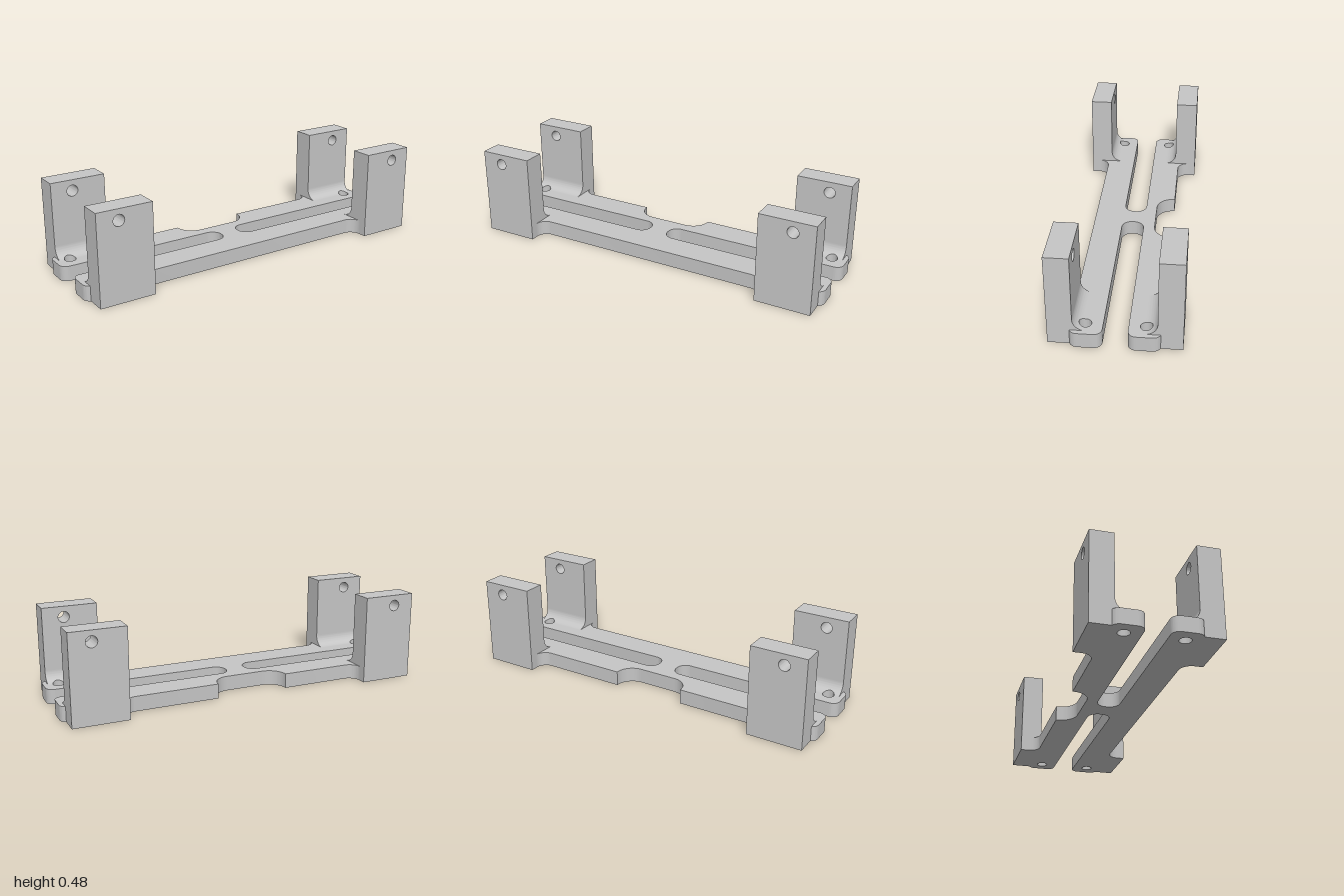
import * as THREE from 'three';
import { toCreasedNormals } from 'three/addons/utils/BufferGeometryUtils.js';

const PLATE = 0.08, HOLE = 0.03, HOLE_X = 0.92, HOLE_Z = 0.144;
const POST_IN = 0.68, POST_OUT = 0.976, POST_Z = 0.199, POST_DEPTH = 0.12;

// Closed outline from [x, y, radius] corners, each right angle rounded by an arc
function roundedOutline(corners) {
  const shape = new THREE.Shape();
  const n = corners.length;
  corners.forEach(([x, y, r = 0], i) => {
    const p = new THREE.Vector2(x, y);
    const toward = (c) => new THREE.Vector2(c[0], c[1]).sub(p).normalize();
    const d1 = toward(corners[(i + n - 1) % n]);
    const d2 = toward(corners[(i + 1) % n]);
    const start = p.clone().addScaledVector(d1, r);
    if (i === 0) shape.moveTo(start.x, start.y);
    else shape.lineTo(start.x, start.y);
    if (r > 0) {
      const c = start.clone().addScaledVector(d2, r);
      const clockwise = d2.cross(d1) < 0;
      shape.absarc(c.x, c.y, r, Math.atan2(-d2.y, -d2.x), Math.atan2(-d1.y, -d1.x), clockwise);
    }
  });
  shape.closePath();
  return shape;
}

function addHole(shape, x, y) {
  shape.holes.push(new THREE.Path().absarc(x, y, HOLE, 0, Math.PI * 2, true));
}

function extrude(shape, depth) {
  const geo = new THREE.ExtrudeGeometry(shape, { depth, bevelEnabled: false, curveSegments: 16 });
  return toCreasedNormals(geo, 0.6);
}

// Concave fillet between plate and post, cut by the screw hole
function filletGeometry(sx, sz) {
  const r = 0.06, zc = POST_Z - r, yc = PLATE + r;
  const angles = [Math.asin((HOLE_Z + HOLE - zc) / r)];
  for (let i = 0; i <= 16; i++) angles.push((i / 16) * Math.PI / 2);
  angles.sort((a, b) => a - b);
  const rows = angles.map((t) => {
    const z = zc + r * Math.sin(t);
    const w = Math.sqrt(Math.max(0, HOLE ** 2 - (z - HOLE_Z) ** 2));
    return { z, y: yc - r * Math.cos(t), w: w < 1e-4 ? 0 : w };
  });
  const pos = [];
  const quad = (a, b, c, d, reverse = false) => {
    const flip = (sx * sz < 0) !== reverse;
    const order = flip ? [a, c, b, a, d, c] : [a, b, c, a, c, d];
    for (const [x, y, z] of order) pos.push(x * sx, y, z * sz);
  };
  for (let i = 0; i < rows.length - 1; i++) {
    const p = rows[i], q = rows[i + 1];
    const top = (p0, q0, p1, q1) =>
      quad([p0, p.y, p.z], [q0, q.y, q.z], [q1, q.y, q.z], [p1, p.y, p.z]);
    const wall = (px, qx, reverse) =>
      quad([px, PLATE, p.z], [px, p.y, p.z], [qx, q.y, q.z], [qx, PLATE, q.z], reverse);
    top(POST_IN, POST_IN, HOLE_X - p.w, HOLE_X - q.w);
    top(HOLE_X + p.w, HOLE_X + q.w, POST_OUT, POST_OUT);
    wall(POST_IN, POST_IN, true);
    wall(POST_OUT, POST_OUT, false);
    if (p.w > 0 || q.w > 0) {
      wall(HOLE_X - p.w, HOLE_X - q.w, false);
      wall(HOLE_X + p.w, HOLE_X + q.w, true);
    }
  }
  const geo = new THREE.BufferGeometry();
  geo.setAttribute('position', new THREE.Float32BufferAttribute(pos, 3));
  return toCreasedNormals(geo, 0.5);
}

export function createModel() {
  const model = new THREE.Group();
  model.name = 'mountingBracket';
  const gray = new THREE.MeshStandardMaterial({ color: 0xc5c5c5 });
  gray.name = 'lightGray';
  const add = (name, geo, parent = model) => {
    const mesh = new THREE.Mesh(geo, gray);
    mesh.name = name;
    parent.add(mesh);
  };

  // Base plate: two rails joined by a web, with open slots, a back notch and post tabs
  const e = 0.217;
  const plate = roundedOutline([
    [-1, -e, 0.04], [-0.95, -e], [-0.95, -0.3], [-POST_IN, -0.3], [-POST_IN, -e, 0.06],
    [POST_IN, -e, 0.06], [POST_IN, -0.3], [0.95, -0.3], [0.95, -e], [1, -e, 0.04],
    [1, -0.06, 0.04], [0.02, -0.06, 0.056], [0.02, 0.06, 0.056], [1, 0.06, 0.04],
    [1, e, 0.04], [0.95, e], [0.95, 0.3], [POST_IN, 0.3], [POST_IN, e, 0.06],
    [0.16, e], [0.16, 0.12, 0.094], [-0.24, 0.12, 0.094], [-0.24, e],
    [-POST_IN, e, 0.06], [-POST_IN, 0.3], [-0.95, 0.3], [-0.95, e], [-1, e, 0.04],
    [-1, 0.06, 0.04], [-0.09, 0.06, 0.056], [-0.09, -0.06, 0.056], [-1, -0.06, 0.04],
  ]);
  for (const sx of [-1, 1]) for (const sz of [-1, 1]) addHole(plate, sx * HOLE_X, sz * HOLE_Z);
  add('basePlate', extrude(plate, PLATE).rotateX(-Math.PI / 2));

  // Four upright posts with a cross hole and a fillet at the foot
  for (const sx of [-1, 1]) {
    for (const sz of [-1, 1]) {
      const corner = new THREE.Group();
      corner.name = (sz > 0 ? 'front' : 'back') + (sx > 0 ? 'Left' : 'Right') + 'Corner';
      model.add(corner);
      const x0 = sx > 0 ? POST_IN : -POST_OUT;
      const x1 = sx > 0 ? POST_OUT : -POST_IN;
      const face = roundedOutline([[x0, 0], [x1, 0], [x1, 0.48], [x0, 0.48]]);
      addHole(face, sx * 0.86, 0.422);
      const z0 = sz > 0 ? POST_Z : -POST_Z - POST_DEPTH;
      add('post', extrude(face, POST_DEPTH).translate(0, 0, z0), corner);
      add('postFillet', filletGeometry(sx, sz), corner);
    }
  }
  return model;
}
